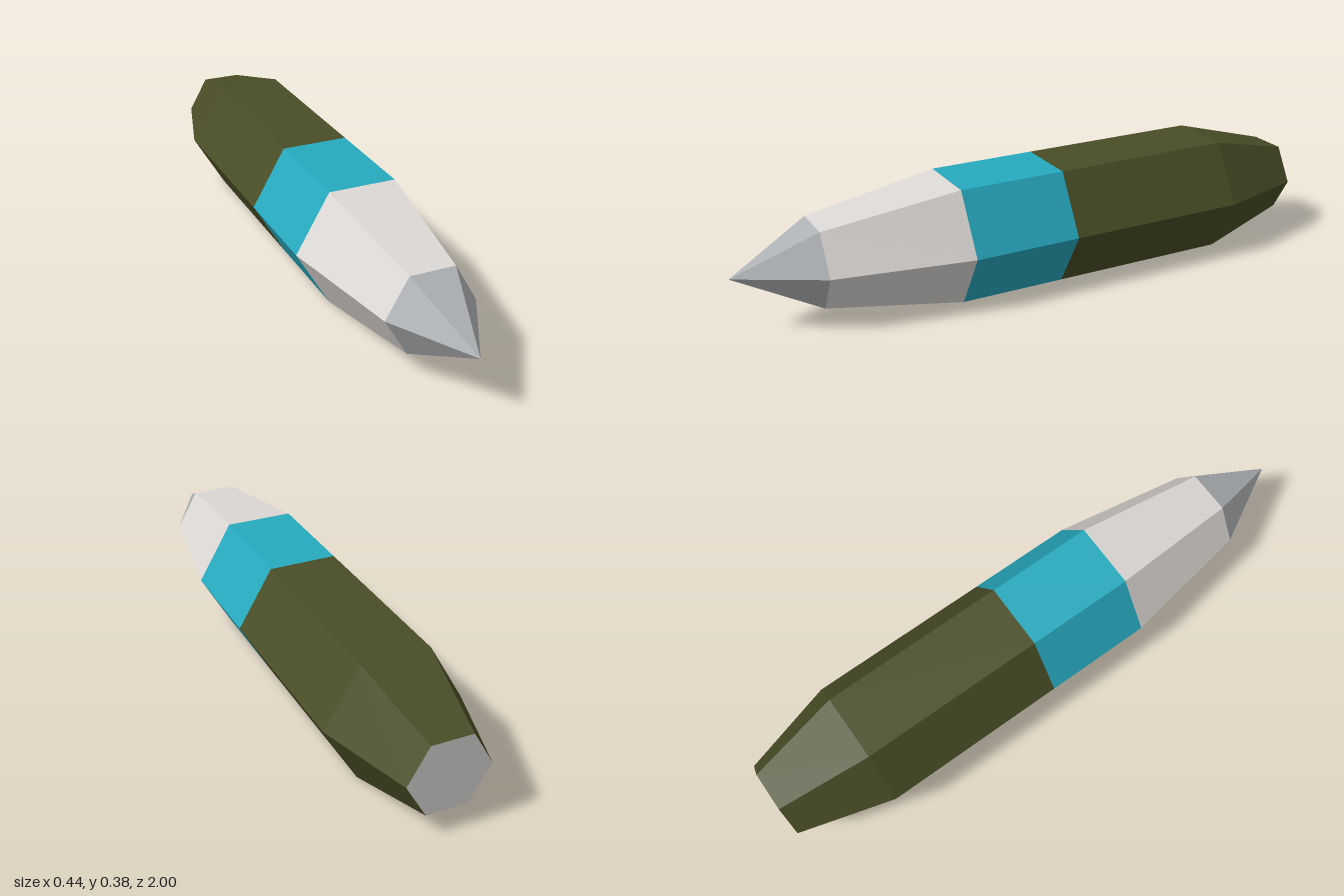
import * as THREE from 'three';

const R = 0.222;                       // corner radius of the hexagonal barrel
const AXIS_Y = R * Math.sqrt(3) / 2;   // flat face rests on the ground

const flat = (name, color) => {
  const m = new THREE.MeshStandardMaterial({ color, flatShading: true });
  m.name = name;
  return m;
};

export function createModel() {
  const paleGrey = flat('paleGrey', 0xdcd8d5);
  const steelGrey = flat('steelGrey', 0xadb0b3);
  const teal = flat('teal', 0x26a9be);
  const olive = flat('olive', 0x494d26);

  const model = new THREE.Group();
  model.name = 'hexagonalBody';

  // One open hexagonal section along z, corners pointing to +x and -x
  const section = (name, zBack, rBack, zFront, rFront, material) => {
    const geo = new THREE.CylinderGeometry(rFront, rBack, zFront - zBack, 6, 1, true, Math.PI / 2);
    geo.rotateX(Math.PI / 2);
    const mesh = new THREE.Mesh(geo, material);
    mesh.name = name;
    mesh.position.set(0, AXIS_Y, (zFront + zBack) / 2);
    model.add(mesh);
  };

  section('tailTaper', -1, 0.132, -0.69, R, olive);
  section('mainBody', -0.69, R, -0.07, R, olive);
  section('colourBand', -0.07, R, 0.29, R, teal);
  section('noseTaper', 0.29, R, 0.735, 0.146, paleGrey);
  section('tip', 0.735, 0.146, 1, 0, steelGrey);

  // Flat hexagon closing the tail
  const endCap = new THREE.Mesh(new THREE.CircleGeometry(0.132, 6), paleGrey);
  endCap.name = 'endCap';
  endCap.rotation.y = Math.PI;
  endCap.position.set(0, AXIS_Y, -1);
  model.add(endCap);

  return model;
}
